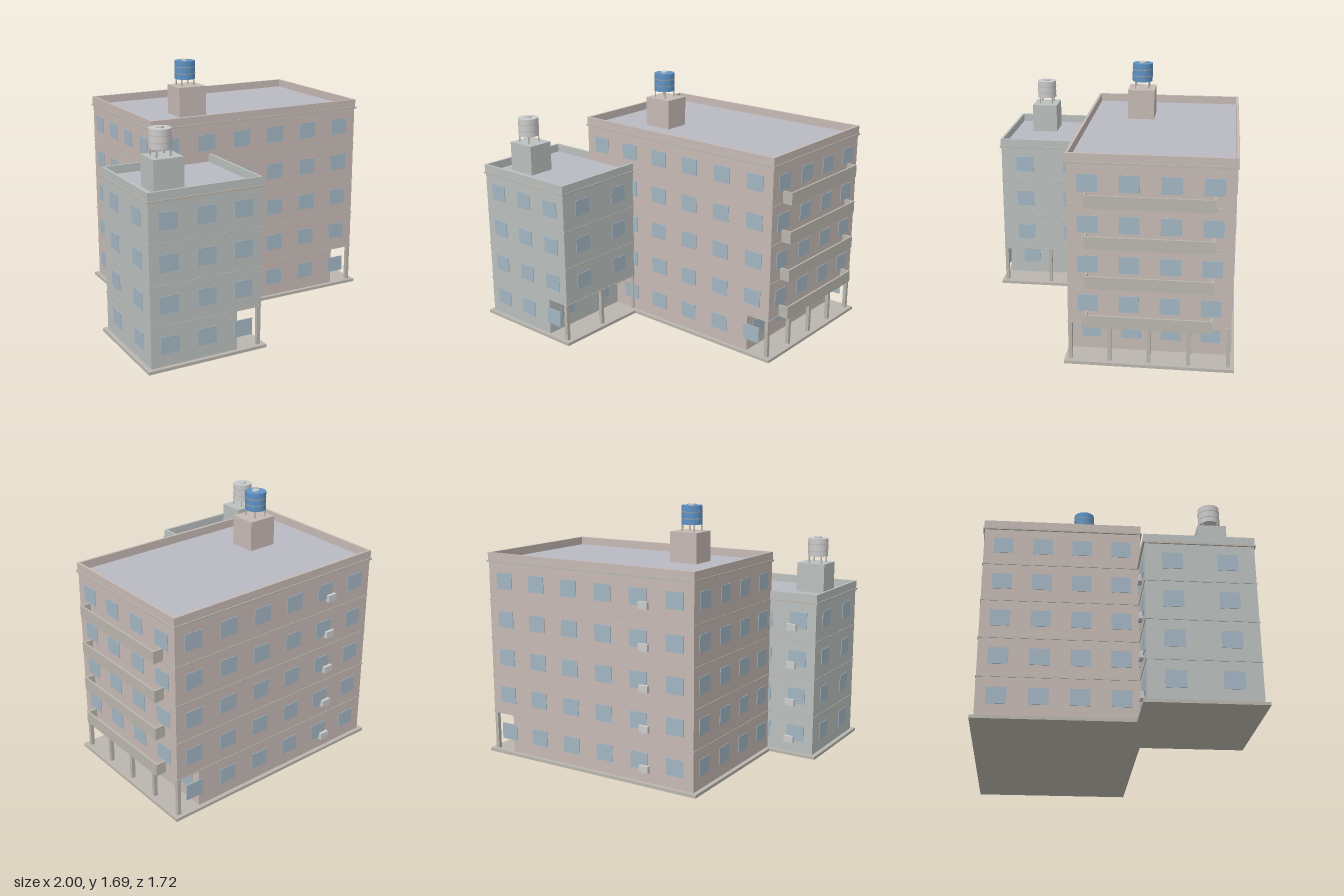
import * as THREE from 'three';

const mat = (color, extra = {}) => new THREE.MeshStandardMaterial({ color, ...extra });
const trim = mat(0xbab6ae), glass = mat(0xa3b6c2), roofMat = mat(0xb9b9c2);
const grey = mat(0xcccccc), blue = mat(0x5f93c6), band = mat(0xb9a58c);

const BASE = 0.02, FLOOR = 0.257;

// Box given by its min and max corners
function box(parent, name, material, x0, x1, y0, y1, z0, z1) {
  const mesh = new THREE.Mesh(new THREE.BoxGeometry(x1 - x0, y1 - y0, z1 - z0), material);
  mesh.position.set((x0 + x1) / 2, (y0 + y1) / 2, (z0 + z1) / 2);
  mesh.name = name;
  parent.add(mesh);
  return mesh;
}

// Rectangular frame around a plan, grown outward by `out` and `t` thick
function ring(parent, name, material, p, out, t, y0, y1) {
  const rect = (T, o) => new T([
    new THREE.Vector2(p.x0 - o, -p.z0 + o), new THREE.Vector2(p.x0 - o, -p.z1 - o),
    new THREE.Vector2(p.x1 + o, -p.z1 - o), new THREE.Vector2(p.x1 + o, -p.z0 + o)]);
  const shape = rect(THREE.Shape, out);
  shape.holes.push(rect(THREE.Path, out - t));
  const geo = new THREE.ExtrudeGeometry(shape, { depth: y1 - y0, bevelEnabled: false });
  geo.rotateX(-Math.PI / 2);
  const mesh = new THREE.Mesh(geo, material);
  mesh.position.y = y0;
  mesh.name = name;
  parent.add(mesh);
}

function cylinder(parent, name, material, r, h, x, y, z, sides) {
  const geo = new THREE.CylinderGeometry(r, r, h, sides);
  const mesh = new THREE.Mesh(geo, material);
  mesh.position.set(x, y + h / 2, z);
  mesh.name = name;
  parent.add(mesh);
}

// Water tank on four legs, with hoops and a lid
function waterTank(parent, material, x, y, z) {
  const tank = new THREE.Group();
  tank.name = 'waterTank';
  tank.position.set(x, y, z);
  for (const sx of [-1, 1]) for (const sz of [-1, 1])
    cylinder(tank, 'tankLeg', trim, 0.005, 0.05, sx * 0.045, 0, sz * 0.045, 6);
  cylinder(tank, 'tankBody', material, 0.069, 0.122, 0, 0.046, 0, 16);
  for (const h of [0.082, 0.126])
    cylinder(tank, 'tankHoop', material === blue ? band : trim, 0.0705, 0.004, 0, h, 0, 16);
  cylinder(tank, 'tankLid', grey, 0.025, 0.01, 0, 0.168, 0, 12);
  parent.add(tank);
}

// One block: recessed arcade on its +x side, windows all round, parapet roof
function block(p) {
  const g = new THREE.Group();
  g.name = p.name;
  const wall = mat(p.color), top = BASE + p.floors * FLOOR, arcade = BASE + FLOOR;
  const inner = p.x1 - p.recess;

  box(g, 'plinth', trim, p.x0 - 0.028, p.x1 + 0.028, 0, BASE, p.z0 - 0.026, p.z1 + 0.026);
  box(g, 'groundFloor', wall, p.x0, inner, BASE, arcade, p.z0, p.z1);
  box(g, 'upperFloors', wall, p.x0, p.x1, arcade, top, p.z0, p.z1);
  box(g, 'roof', roofMat, p.x0, p.x1, top, top + 0.006, p.z0, p.z1);
  ring(g, 'cornice', trim, p, 0.01, 0.02, top - 0.004, top + 0.008);
  ring(g, 'parapet', wall, p, 0.004, 0.016, top, top + 0.06);
  for (let f = 1; f < p.floors; f++)
    ring(g, 'stringCourse', trim, p, 0.004, 0.01, BASE + f * FLOOR - 0.003, BASE + f * FLOOR + 0.003);

  // Columns of the arcade
  for (let i = 0; i <= p.nz; i++) {
    const z = p.z0 + 0.012 + (p.z1 - p.z0 - 0.024) * i / p.nz;
    box(g, 'column', trim, p.x1 - 0.027, p.x1 - 0.002, BASE, arcade, z - 0.012, z + 0.012);
  }

  // Windows on every floor
  const hw = 0.062, d = 0.004;
  for (let f = 0; f < p.floors; f++) {
    const y0 = BASE + f * FLOOR + 0.082, y1 = y0 + 0.108;
    for (let i = 0; i < p.nx; i++) {
      const x = p.x0 + (p.x1 - p.x0) * (i + 0.5) / p.nx;
      for (const z of [p.z0, p.z1]) box(g, 'window', glass, x - hw, x + hw, y0, y1, z - d, z + d);
    }
    for (let i = 0; i < p.nz; i++) {
      const z = p.z0 + (p.z1 - p.z0) * (i + 0.5) / p.nz;
      for (const x of [p.x0, f ? p.x1 : inner]) box(g, 'window', glass, x - d, x + d, y0, y1, z - hw, z + hw);
    }
    // Air conditioner on the back wall
    const ay = BASE + f * FLOOR + 0.066;
    box(g, 'airConditioner', grey, p.acX - 0.033, p.acX + 0.033, ay, ay + 0.045, p.z0 - 0.024, p.z0);
  }

  // Roof housing and tank
  const [hx, hz] = p.housing;
  box(g, 'roofHousing', wall, hx - 0.1, hx + 0.1, top, top + 0.205, hz - 0.09, hz + 0.09);
  waterTank(g, p.tank, hx - 0.012, top + 0.205, hz);
  return g;
}

// Open trough balcony on the +x wall
function balcony(parent, x0, x1, y, z0, z1) {
  const b = new THREE.Group(), h = 0.08, t = 0.012;
  b.name = 'balcony';
  box(b, 'balconySlab', trim, x0, x1, y, y + 0.014, z0, z1);
  box(b, 'balconyFront', trim, x1 - t, x1, y + 0.014, y + h, z0, z1);
  box(b, 'balconyEnd', trim, x0, x1 - t, y + 0.014, y + h, z0, z0 + t);
  box(b, 'balconyEnd', trim, x0, x1 - t, y + 0.014, y + h, z1 - t, z1);
  parent.add(b);
}

export function createModel() {
  const model = new THREE.Group();
  model.name = 'apartmentBuilding';

  const main = block({
    name: 'mainBlock', color: 0xc6b9b4, x0: -0.64, x1: 0.932, z0: -0.834, z1: 0.17,
    floors: 5, nx: 6, nz: 4, recess: 0.165, acX: -0.293, housing: [-0.218, -0.176], tank: blue,
  });
  for (let f = 1; f < 5; f++) balcony(main, 0.932, 1.0, BASE + f * FLOOR, -0.72, 0.058);
  model.add(main);

  model.add(block({
    name: 'wingBlock', color: 0xbac0be, x0: -0.972, x1: -0.222, z0: 0.156, z1: 0.832,
    floors: 4, nx: 3, nz: 2, recess: 0.17, acX: -0.805, housing: [-0.768, 0.598], tank: grey,
  }));
  return model;
}
